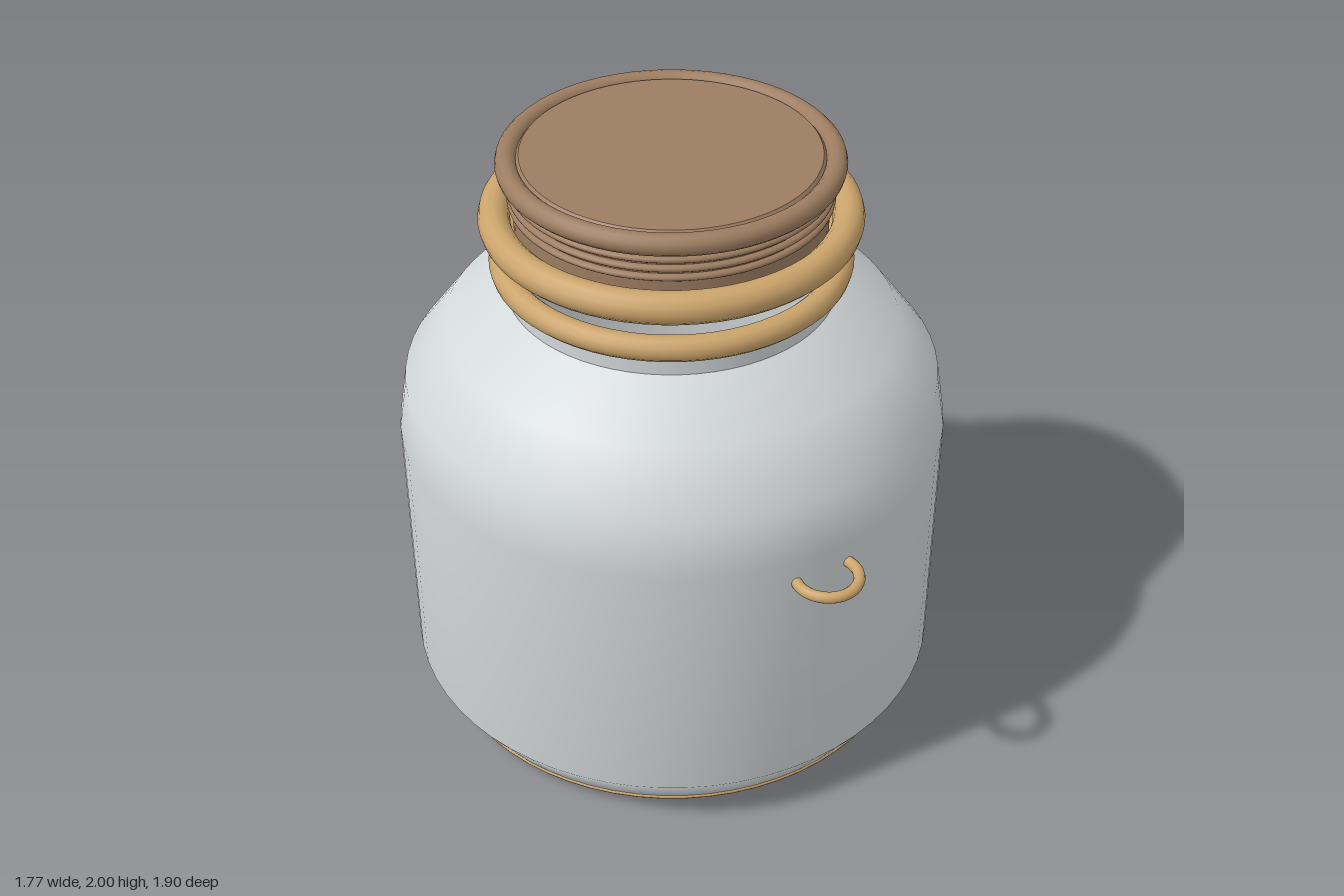
import * as THREE from 'three';
import { toCreasedNormals } from 'three/addons/utils/BufferGeometryUtils.js';

export function createModel() {
  const glaze = new THREE.MeshStandardMaterial({ name: 'paleGrey', color: 0xd3d8da });
  const tan = new THREE.MeshStandardMaterial({ name: 'tan', color: 0xcba46b });
  const brown = new THREE.MeshStandardMaterial({ name: 'brown', color: 0x9d7d61 });

  const model = new THREE.Group();
  model.name = 'jar';
  // The jar sits slightly back so the front loop balances the depth
  const jar = new THREE.Group();
  jar.name = 'jarAndLid';
  jar.position.z = -0.067;
  model.add(jar);

  const add = (name, geometry, material, parent = jar) => {
    const mesh = new THREE.Mesh(geometry, material);
    mesh.name = name;
    parent.add(mesh);
    return mesh;
  };
  const lathe = (points) =>
    new THREE.LatheGeometry(points.map(([r, y]) => new THREE.Vector2(r, y)), 64);
  // Horizontal ring given by its outer radius, tube radius and height
  const ring = (name, outer, tube, y, material, squash = 1, parent = jar) => {
    const g = new THREE.TorusGeometry(outer - tube, tube, 12, 64);
    g.rotateX(-Math.PI / 2).scale(1, squash, 1).translate(0, y, 0);
    return add(name, g, material, parent);
  };

  // Hollow body: smooth outer wall with a crisp neck
  add('body', lathe([
    [0, 0], [0.66, 0], [0.8, 0.048], [0.885, 0.175], [0.885, 1.05],
    [0.855, 1.23], [0.72, 1.41], [0.52, 1.53],
  ]), glaze);
  add('neck', toCreasedNormals(lathe([
    [0.52, 1.53], [0.52, 1.64], [0.495, 1.64], [0.495, 1.52],
  ]), 0.6), glaze);
  add('innerWall', lathe([
    [0.495, 1.52], [0.695, 1.4], [0.83, 1.22], [0.86, 1.05],
    [0.86, 0.19], [0.78, 0.07], [0.65, 0.03], [0, 0.03],
  ]), glaze);

  // Trim rings on base and mouth
  ring('baseRing', 0.808, 0.026, 0.047, tan, 0.5);
  ring('mouthRing', 0.568, 0.04, 1.63, tan);

  // Lid floating above the mouth
  const lid = new THREE.Group();
  lid.name = 'lid';
  jar.add(lid);
  add('lidPlug', toCreasedNormals(lathe([
    [0, 1.725], [0.45, 1.725], [0.485, 1.74], [0.485, 1.96], [0.46, 1.99], [0, 1.99],
  ]), 0.5), brown, lid);
  ring('lidTopRing', 0.533, 0.034, 1.966, brown, 1, lid);
  [1.91, 1.88, 1.85].forEach((y, i) =>
    ring('lidThread' + (i + 1), 0.502, 0.014, y, brown, 0.8, lid));
  ring('lidCollar', 0.594, 0.05, 1.782, tan, 1, lid);

  // Small hanging loop on the front
  const loop = ring('frontLoop', 0.115, 0.018, 0, tan, 1, model);
  loop.position.set(0, 0.968, 0.837);

  return model;
}
